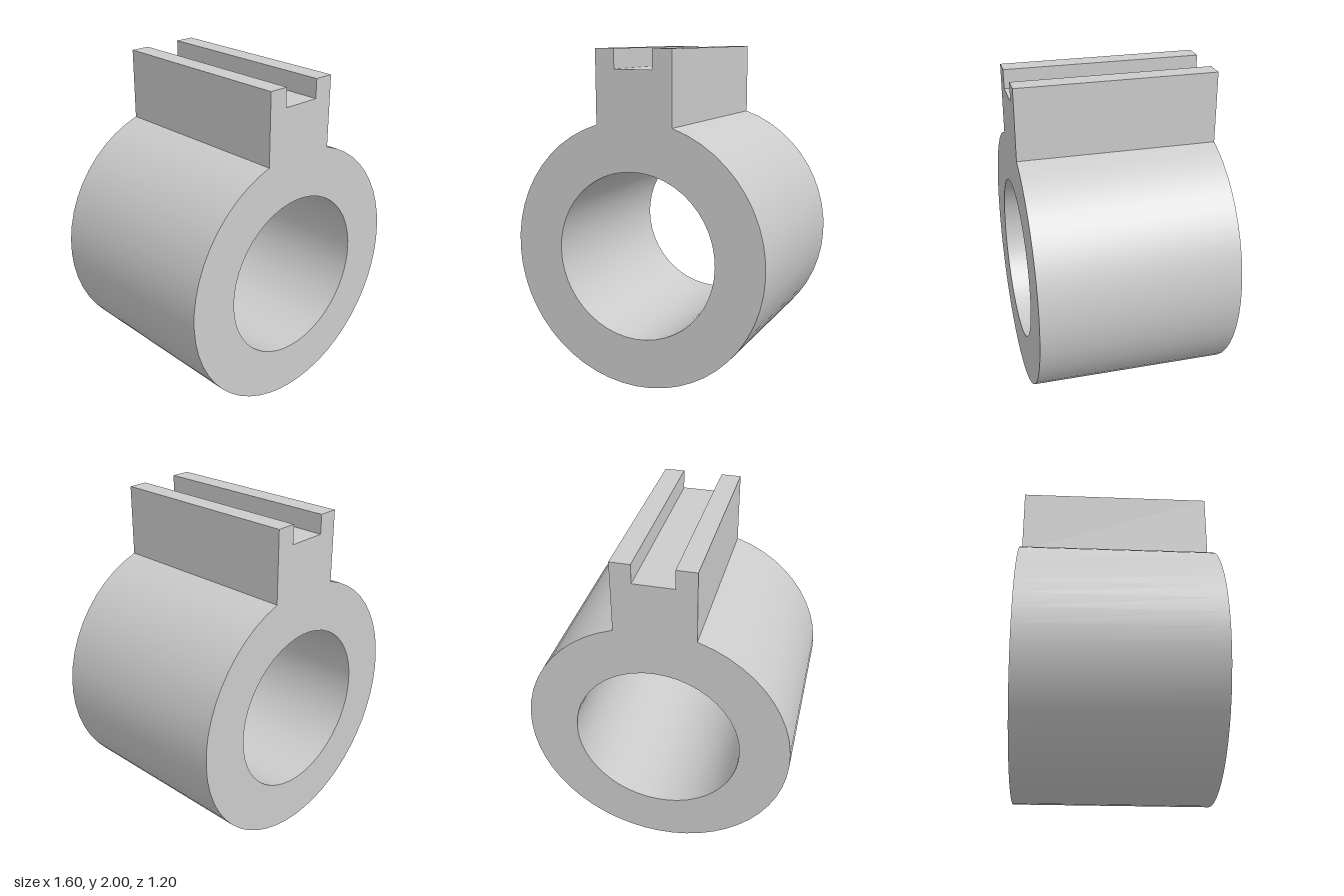
import * as THREE from 'three';
import { toCreasedNormals } from 'three/addons/utils/BufferGeometryUtils.js';

const OUTER = 0.802, INNER = 0.503, CENTRE_Y = 0.802;
const DEPTH = 1.2, RAIL = 0.24, SLOT = 0.12, TOP = 2, SLOT_FLOOR = 1.885;

export function createModel() {
  const model = new THREE.Group();
  model.name = 'slottedCollar';

  // Ring outline, running clockwise from the rail's right foot to its left foot
  const foot = Math.acos(RAIL / OUTER);
  const profile = new THREE.Shape();
  profile.absarc(0, CENTRE_Y, OUTER, foot, Math.PI - foot, true);

  // Rail with a square slot along its top
  profile.lineTo(-RAIL, TOP);
  profile.lineTo(-SLOT, TOP);
  profile.lineTo(-SLOT, SLOT_FLOOR);
  profile.lineTo(SLOT, SLOT_FLOOR);
  profile.lineTo(SLOT, TOP);
  profile.lineTo(RAIL, TOP);
  profile.closePath();

  // Through bore
  const bore = new THREE.Path();
  bore.absarc(0, CENTRE_Y, INNER, 0, Math.PI * 2, false);
  profile.holes.push(bore);

  const geometry = new THREE.ExtrudeGeometry(profile, {
    depth: DEPTH, bevelEnabled: false, curveSegments: 24,
  });
  geometry.translate(0, 0, -DEPTH / 2);

  const collar = new THREE.Mesh(
    toCreasedNormals(geometry, Math.PI / 6),
    new THREE.MeshStandardMaterial({ color: 0xcccccc }),
  );
  collar.name = 'collarWithRail';
  model.add(collar);
  return model;
}
